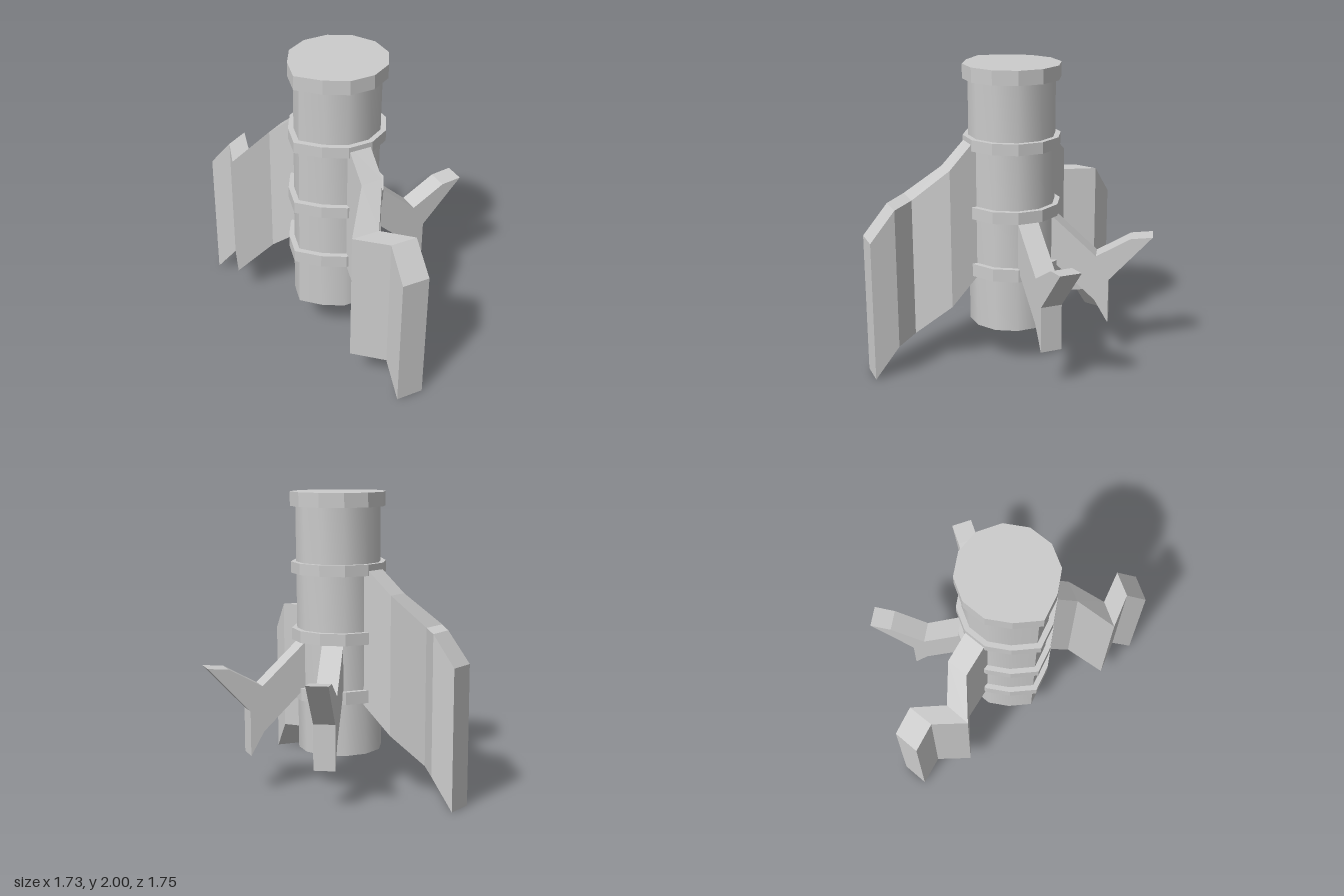
import * as THREE from 'three';
import { toCreasedNormals } from 'three/addons/utils/BufferGeometryUtils.js';

const CX = 0.103, CZ = 0.055; // axis of the barrel

export function createModel() {
  const model = new THREE.Group();
  const flat = new THREE.MeshStandardMaterial({ color: 0xcccccc, flatShading: true });
  const smooth = new THREE.MeshStandardMaterial({ color: 0xcccccc });

  function add(name, geometry, material = flat) {
    const mesh = new THREE.Mesh(geometry, material);
    mesh.name = name;
    model.add(mesh);
    return mesh;
  }

  // Twelve-sided prism with one corner pushed out, leaning very slightly
  function prism(radius, y0, y1) {
    const pts = [];
    for (let i = 0; i < 12; i++) {
      const a = THREE.MathUtils.degToRad(4.4 + i * 30);
      const r = i === 4 ? radius * 1.15 : radius;
      pts.push(new THREE.Vector2(r * Math.cos(a), -r * Math.sin(a)));
    }
    const g = new THREE.ExtrudeGeometry(new THREE.Shape(pts), { depth: y1 - y0, bevelEnabled: false });
    g.rotateX(-Math.PI / 2).translate(CX, y0, CZ);
    const p = g.attributes.position;
    for (let i = 0; i < p.count; i++) {
      const lean = (p.getY(i) - 2) * 0.006;
      p.setX(i, p.getX(i) + lean);
      p.setZ(i, p.getZ(i) - lean);
    }
    g.computeVertexNormals();
    return g;
  }

  // Barrel and its four bands
  add('barrel', toCreasedNormals(prism(0.287, 0.25, 1.95), 0.8), smooth);
  for (const [y0, y1] of [[1.905, 2], [1.46, 1.535], [1.005, 1.085], [0.61, 0.695]])
    add('band', prism(0.323, y0, y1));

  // Folded plate: each station is [x, z] of side a, [x, z] of side b, bottom and top
  function plate(stations) {
    const pos = [], idx = [];
    for (const [ax, az, bx, bz, y0, y1] of stations)
      pos.push(ax, y0, az, bx, y0, bz, bx, y1, bz, ax, y1, az);
    const quad = (a, b, c, d) => idx.push(a, b, c, a, c, d);
    const last = (stations.length - 1) * 4;
    for (let s = 0; s < last; s += 4)
      for (let k = 0; k < 4; k++) {
        const n = (k + 1) % 4;
        quad(s + k, s + 4 + k, s + 4 + n, s + n);
      }
    quad(0, 1, 2, 3);
    quad(last + 3, last + 2, last + 1, last);
    const g = new THREE.BufferGeometry();
    g.setAttribute('position', new THREE.Float32BufferAttribute(pos, 3));
    g.setIndex(idx);
    const out = g.toNonIndexed();
    out.computeVertexNormals();
    return out;
  }

  // Two large zigzag fins; side b lies clockwise of side a seen from above
  const heights = [[0.6, 1.535], [0.41, 1.345], [0.205, 1.135], [0.205, 1.135], [0, 0.935]];
  const leftPlan = [
    [0.335, 0.225, 0.225, 0.32], [0.455, 0.36, 0.345, 0.46], [0.49, 0.615, 0.345, 0.735],
    [0.725, 0.63, 0.588, 0.745], [0.832, 0.755, 0.69, 0.872],
  ];
  const rightPlan = [
    [-0.17, 0.04, -0.12, -0.105], [-0.384, -0.033, -0.334, -0.177], [-0.62, 0.063, -0.555, -0.108],
    [-0.71, -0.155, -0.653, -0.326], [-0.865, -0.21, -0.803, -0.382],
  ];
  for (const [name, plan] of [['leftLargeFin', leftPlan], ['rightLargeFin', rightPlan]])
    add(name, plate(plan.map((p, i) => [...p, ...heights[i]])));

  // Two small forked fins at the back: profile of radius and height
  const profile = [
    [0.24, 1.03], [0.566, 0.73], [0.794, 0.86], [0.936, 0.875],
    [0.652, 0.565], [0.652, 0.26], [0.56, 0.42], [0.24, 0.72],
  ].map(([r, y]) => new THREE.Vector2(r, y));
  const finWidth = 0.142;
  for (const [name, angle] of [['leftSmallFin', 40], ['rearSmallFin', 100.6]]) {
    const g = new THREE.ExtrudeGeometry(new THREE.Shape(profile), { depth: finWidth, bevelEnabled: false });
    g.translate(0, 0, -finWidth / 2);
    const fin = add(name, g);
    fin.rotation.y = THREE.MathUtils.degToRad(angle);
    fin.position.set(CX, 0, CZ);
  }
  return model;
}
